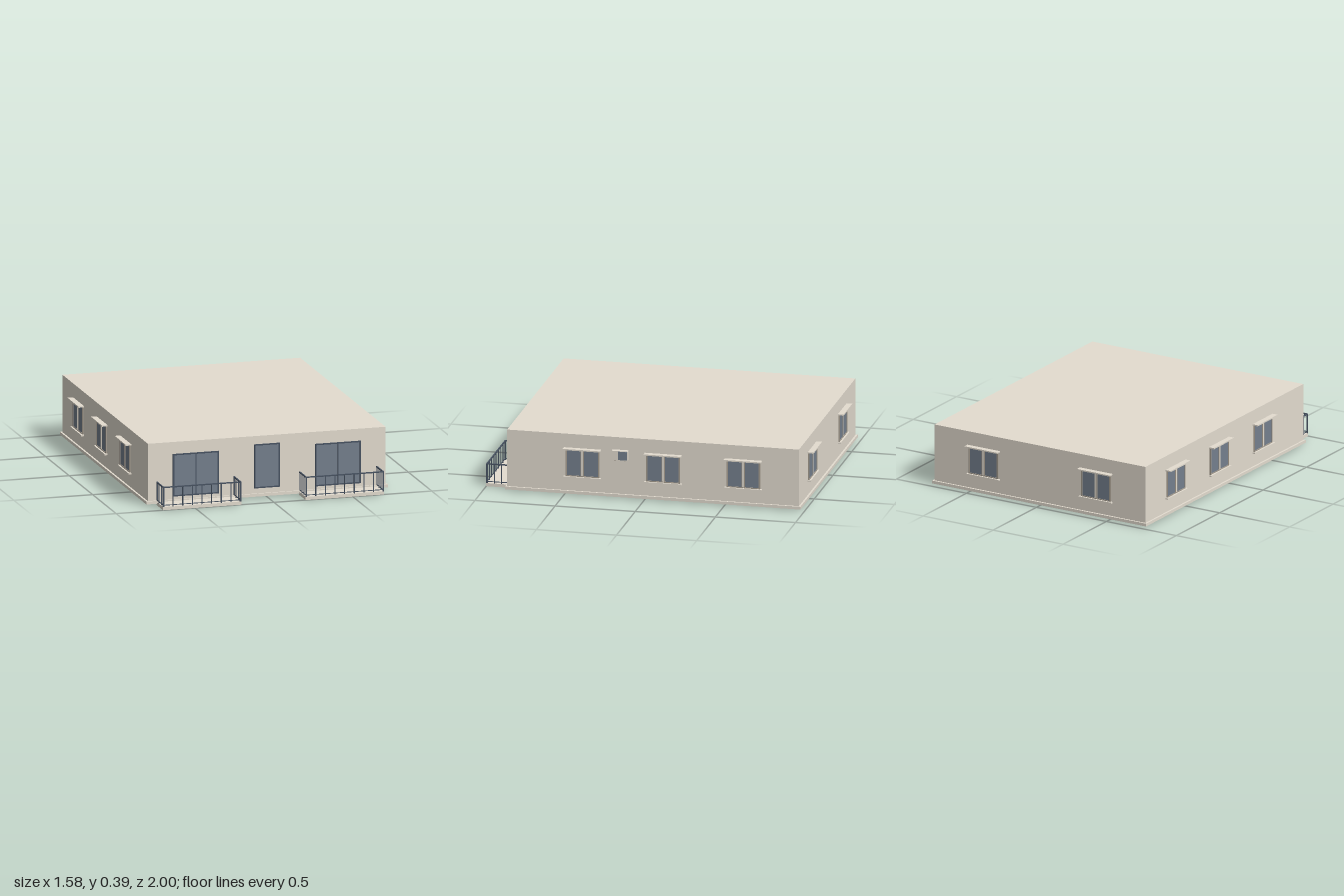
import * as THREE from 'three';

const mat = (name, color) => new THREE.MeshStandardMaterial({ name, color });

export function createModel() {
  const plaster = mat('plaster', 0xe4ddd0);
  const trim = mat('windowTrim', 0xa69d90);
  const glass = mat('glass', 0x75808e);
  const metal = mat('darkMetal', 0x485362);

  const model = new THREE.Group();
  model.name = 'building';
  const group = (name, x, y, z, parent = model) => {
    const g = new THREE.Group();
    g.name = name;
    g.position.set(x, y, z);
    parent.add(g);
    return g;
  };
  // Box given by its limits on each axis
  const box = (parent, name, m, x0, x1, y0, y1, z0, z1) => {
    const b = new THREE.Mesh(new THREE.BoxGeometry(x1 - x0, y1 - y0, z1 - z0), m);
    b.name = name;
    b.position.set((x0 + x1) / 2, (y0 + y1) / 2, (z0 + z1) / 2);
    parent.add(b);
  };
  // Four bars around a rectangular opening
  const border = (g, name, m, hw, y0, y1, t, depth) => {
    box(g, name, m, -hw, hw, y1 - t, y1, 0, depth);
    box(g, name, m, -hw, hw, y0, y0 + t, 0, depth);
    for (const s of [-1, 1]) {
      const x = s * (hw - t / 2);
      box(g, name, m, x - t / 2, x + t / 2, y0 + t, y1 - t, 0, depth);
    }
  };

  const HX = 0.7535, FRONT = 0.857, BACK = -0.963, CX = -0.003;
  const house = group('house', CX, 0, 0);
  box(house, 'walls', plaster, -HX, HX, 0.012, 0.386, BACK, FRONT);
  box(house, 'plinth', plaster, -HX - 0.012, HX + 0.012, 0.009, 0.027, BACK - 0.012, FRONT + 0.01);

  // Small window with hood and sill, facing local +z
  const addWindow = (name, x, z, turn) => {
    const g = group(name, x, 0, z, house);
    g.rotation.y = turn;
    box(g, 'pane', glass, -0.1, 0.1, 0.121, 0.293, 0, 0.004);
    border(g, 'frame', trim, 0.105, 0.117, 0.293, 0.008, 0.008);
    box(g, 'mullion', plaster, -0.006, 0.006, 0.125, 0.285, 0, 0.008);
    for (const s of [-1, 1]) {
      box(g, 'sash', trim, s * 0.008 - 0.002, s * 0.008 + 0.002, 0.125, 0.285, 0, 0.007);
    }
    box(g, 'hood', plaster, -0.116, 0.116, 0.291, 0.299, 0, 0.036);
    box(g, 'sill', plaster, -0.116, 0.116, 0.111, 0.119, 0, 0.019);
  };
  for (const z of [0.387, -0.117, -0.617]) {
    addWindow('leftWindow', HX, z, Math.PI / 2);
    addWindow('rightWindow', -HX, z, -Math.PI / 2);
  }
  for (const x of [-0.402, 0.402]) addWindow('backWindow', x, BACK, Math.PI);

  // Glazed doors on the front
  const addDoor = (name, x, hw, y0, y1, split) => {
    const g = group(name, x, 0, FRONT, house);
    box(g, 'pane', glass, -hw + 0.004, hw - 0.004, y0 + 0.004, y1 - 0.004, 0, 0.004);
    border(g, 'doorFrame', metal, hw, y0, y1, 0.008, 0.007);
    if (split) box(g, 'doorMullion', metal, -0.003, 0.003, y0, y1, 0, 0.006);
  };
  addDoor('entranceDoor', 0, 0.081, 0.06, 0.335, false);

  // Balconies: slab, rails and bars on three sides
  const HB = 0.248, RAIL = 0.145;
  for (const side of [-1, 1]) {
    addDoor('balconyDoor', side * 0.451, 0.145, 0.046, 0.311, true);
    const g = group('balcony', side * 0.452, 0, 0, house);
    box(g, 'slab', plaster, -HB, HB, 0, 0.02, FRONT, 1);
    const bar = (x, z, w) =>
      box(g, 'bar', metal, x - w / 2, x + w / 2, 0.02, RAIL, z - w / 2, z + w / 2);
    const zf = 0.996, xs = HB - 0.004;
    for (let i = 0; i <= 8; i++) {
      bar(-xs + (2 * xs * i) / 8, zf, i % 8 ? 0.005 : 0.008);
    }
    for (const s of [-1, 1]) {
      for (const z of [0.95, 0.905, 0.863]) bar(s * xs, z, 0.005);
      box(g, 'sideRail', metal, s * xs - 0.004, s * xs + 0.004, RAIL - 0.007, RAIL, FRONT, 1);
      box(g, 'lowerSideRail', metal, s * xs - 0.002, s * xs + 0.002, 0.028, 0.032, FRONT, 1);
    }
    box(g, 'frontRail', metal, -HB, HB, RAIL - 0.007, RAIL, 0.992, 1);
    box(g, 'lowerFrontRail', metal, -HB, HB, 0.028, 0.032, 0.994, 0.998);
  }

  // Air conditioner on the left wall, with its grille and brackets
  const ac = group('airConditioner', HX, 0, 0, house);
  box(ac, 'casing', plaster, 0.006, 0.037, 0.25, 0.309, 0.098, 0.197);
  box(ac, 'grille', glass, 0.037, 0.04, 0.253, 0.306, 0.1, 0.156);
  for (const z of [0.115, 0.177]) {
    box(ac, 'bracketArm', trim, 0, 0.036, 0.245, 0.25, z - 0.003, z + 0.003);
    box(ac, 'bracketPost', trim, 0, 0.005, 0.24, 0.3, z - 0.003, z + 0.003);
  }
  return model;
}
